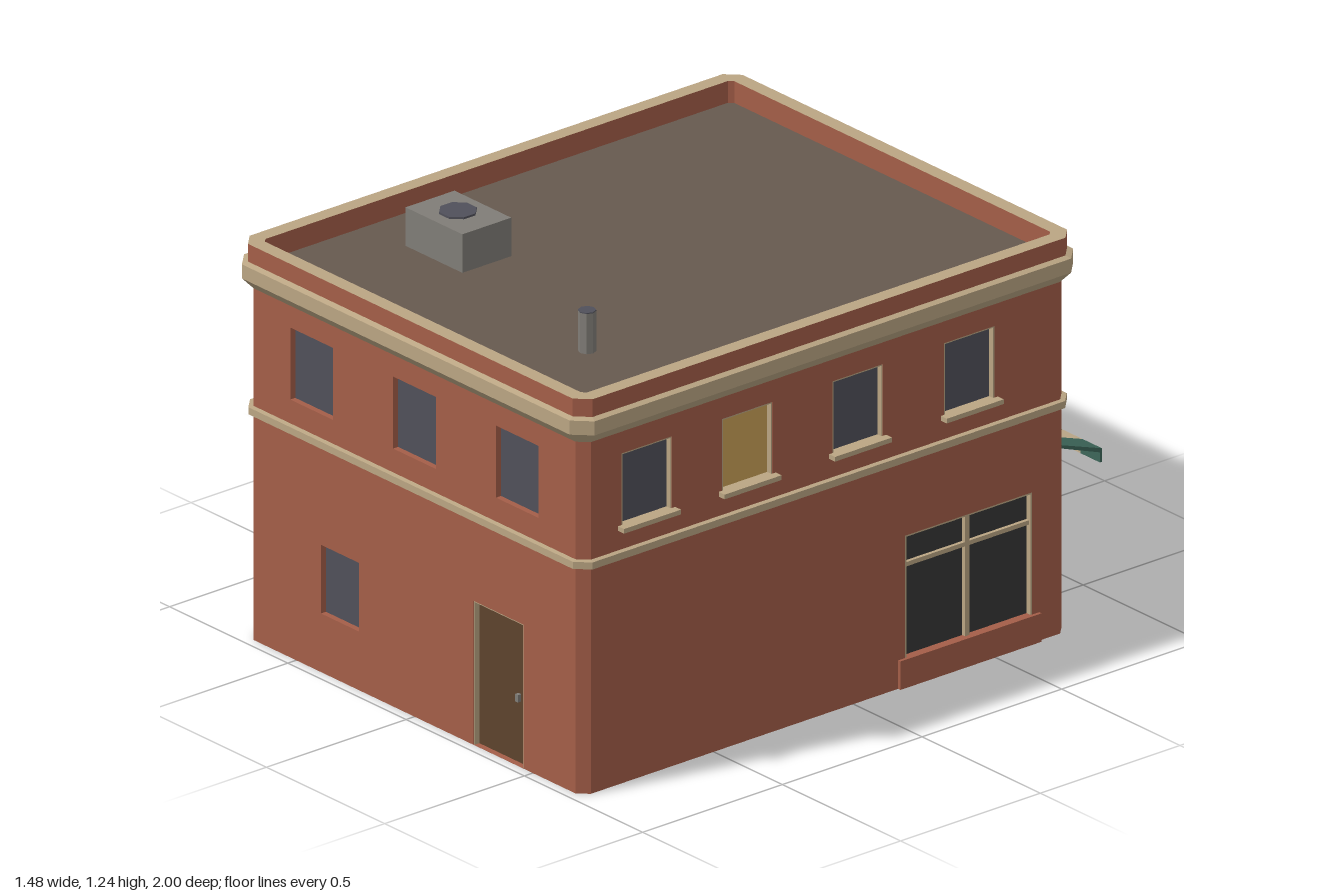
import * as THREE from 'three';

const mat = (name, color, side = THREE.FrontSide) => {
  const m = new THREE.MeshStandardMaterial({ color, side, flatShading: true });
  m.name = name;
  return m;
};
const brick = mat('brick', 0xa45e48, THREE.DoubleSide);
const stone = mat('stone', 0xbaa583, THREE.DoubleSide);
const cream = mat('awningCream', 0xc8b391);
const green = mat('green', 0x3d675a);
const roofing = mat('roofing', 0x66594f, THREE.DoubleSide);
const glass = mat('glass', 0x50505a);
const darkGlass = mat('shopGlass', 0x363636);
const litGlass = mat('litGlass', 0xc9a157);
const wood = mat('doorWood', 0x5d432d);
const metal = mat('metal', 0x807d77);

// Building footprint: chamfered rectangle
const HX = 0.71, HZ = 0.87, CZ = 0.1, CH = 0.03, WALL_TOP = 1.05, REVEAL = 0.02;

function mesh(parent, name, geo, material, x = 0, y = 0, z = 0) {
  const m = new THREE.Mesh(geo, material);
  m.name = name;
  m.position.set(x, y, z);
  parent.add(m);
  return m;
}

// Box given by its minimum and maximum corners
function box(parent, name, material, x0, x1, y0, y1, z0, z1) {
  return mesh(parent, name, new THREE.BoxGeometry(x1 - x0, y1 - y0, z1 - z0), material,
    (x0 + x1) / 2, (y0 + y1) / 2, (z0 + z1) / 2);
}

// Footprint octagon grown outward by o
function octagon(o) {
  const a = HX + o, b = HZ + o, c = CH + o * 0.586;
  return [[a, -b + c], [a, b - c], [a - c, b], [-a + c, b], [-a, b - c], [-a, -b + c], [-a + c, -b], [a - c, -b]];
}

// Band around the building following a profile of [offset, height]
function band(parent, name, material, profile) {
  const pos = [];
  for (let i = 0; i < profile.length - 1; i++) {
    const [lo, yl] = profile[i], [hi, yh] = profile[i + 1];
    const L = octagon(lo), H = octagon(hi);
    for (let k = 0; k < 8; k++) {
      const n = (k + 1) % 8;
      const a = [L[k][0], yl, L[k][1] + CZ], b = [L[n][0], yl, L[n][1] + CZ];
      const c = [H[n][0], yh, H[n][1] + CZ], d = [H[k][0], yh, H[k][1] + CZ];
      pos.push(...a, ...c, ...b, ...a, ...d, ...c);
    }
  }
  const g = new THREE.BufferGeometry();
  g.setAttribute('position', new THREE.Float32BufferAttribute(pos, 3));
  g.computeVertexNormals();
  mesh(parent, name, g, material);
}

function rectPath(Type, u0, u1, y0, y1) {
  const p = new Type();
  p.moveTo(u0, y0);
  p.lineTo(u1, y0);
  p.lineTo(u1, y1);
  p.lineTo(u0, y1);
  p.closePath();
  return p;
}

// One wall with its openings; locally u runs to the right and +z points outward
function wall(parent, name, u0, u1, position, turn, openings) {
  const g = new THREE.Group();
  g.name = name;
  g.position.set(...position);
  g.rotation.y = turn;
  parent.add(g);
  const shape = rectPath(THREE.Shape, u0, u1, 0, WALL_TOP);
  for (const o of openings) {
    const [a, b, c, d] = o.rect;
    shape.holes.push(rectPath(THREE.Path, a, b, Math.max(c, 0.001), d));
    box(g, o.name, o.fill, a, b, c, d, -REVEAL - 0.004, -REVEAL + 0.002);
    const t = o.frame;
    if (t) {
      box(g, 'frameSide', stone, a, a + t, c, d, -REVEAL, -0.001);
      box(g, 'frameSide', stone, b - t, b, c, d, -REVEAL, -0.001);
      box(g, 'frameTop', stone, a, b, d - t, d, -REVEAL, -0.001);
    }
    if (o.sill) box(g, 'sill', stone, a - 0.012, b + 0.012, c - 0.013, c + 0.001, -REVEAL, 0.025);
    if (o.lintel) box(g, 'lintel', stone, a - 0.012, b + 0.012, d, d + 0.015, -REVEAL, 0.015);
    // Shop window: mullions, transom and brick plinth
    if (o.panes) {
      for (let i = 1; i < o.panes; i++) {
        const u = a + (b - a) * i / o.panes;
        box(g, 'mullion', stone, u - 0.008, u + 0.008, c, d, -REVEAL, -0.006);
      }
      box(g, 'transom', stone, a, b, 0.353, 0.366, -REVEAL, -0.007);
      box(g, 'plinth', brick, a - 0.025, b + 0.025, 0, c, -REVEAL, 0.01);
    }
  }
  const geo = new THREE.ExtrudeGeometry(shape, { depth: REVEAL, bevelEnabled: false });
  geo.translate(0, 0, -REVEAL);
  mesh(g, 'brickWall', geo, brick);
  return g;
}

const upper = (u, extra = {}) => ({ name: 'upperWindow', rect: [u - 0.09, u + 0.09, 0.77, 0.985], fill: glass, ...extra });

export function createModel() {
  const model = new THREE.Group();
  model.name = 'cornerShop';
  const zF = CZ + HZ, zB = CZ - HZ;

  // Front wall
  const front = wall(model, 'frontWall', -HX + CH, HX - CH, [0, 0, zF], 0, [
    ...[-0.435, 0, 0.435].map(u => upper(u)),
    { name: 'lowerWindow', rect: [-0.395, -0.235, 0.175, 0.38], fill: glass },
    { name: 'frontDoor', rect: [0.25, 0.46, 0, 0.43], fill: wood, frame: 0.003 },
  ]);
  box(front, 'doorKnob', metal, 0.418, 0.43, 0.185, 0.207, -REVEAL, -0.006);

  // Right wall (u = -z)
  const dressed = { sill: true, frame: 0.004 };
  wall(model, 'rightWall', -zF + CH, -zB - CH, [HX, 0, 0], Math.PI / 2, [
    upper(-0.74, dressed), upper(-0.38, { ...dressed, fill: litGlass }), upper(0.015, dressed), upper(0.415, dressed),
    { name: 'shopWindow', rect: [0.185, 0.64, 0.085, 0.45], fill: darkGlass, frame: 0.005, panes: 2 },
  ]);

  // Left wall (u = z)
  wall(model, 'leftWall', zB + CH, zF - CH, [-HX, 0, 0], -Math.PI / 2, [
    upper(-0.285, dressed), upper(0.43, dressed),
    { name: 'lowerWindow', rect: [0.36, 0.5, 0.175, 0.39], fill: litGlass, frame: 0.004 },
  ]);

  // Back wall with the shop front (u = -x)
  const full = { ...dressed, lintel: true };
  const back = wall(model, 'backWall', -HX + CH, HX - CH, [0, 0, zB], Math.PI, [
    upper(-0.5, { ...full, fill: litGlass }), upper(-0.167, full), upper(0.167, full), upper(0.5, full),
    { name: 'shopDoor', rect: [-0.54, -0.3, 0, 0.45], fill: wood, frame: 0.012 },
    { name: 'shopWindow', rect: [-0.19, 0.62, 0.085, 0.45], fill: darkGlass, frame: 0.006, panes: 3 },
  ]);
  box(back, 'doorGlass', darkGlass, -0.495, -0.345, 0.19, 0.41, -REVEAL, -REVEAL + 0.006);
  box(back, 'doorKnob', metal, -0.52, -0.508, 0.17, 0.192, -REVEAL, -0.006);

  // Sign board with plain brick-coloured blocks
  box(back, 'signBoard', green, -0.53, 0.51, 0.54, 0.645, 0, 0.015);
  box(back, 'signPanel', stone, -0.505, 0.485, 0.56, 0.625, 0.012, 0.021);
  for (let i = 0; i < 5; i++) {
    const u = -0.366 + i * 0.178;
    box(back, 'signBlock', brick, u - 0.06, u + 0.06, 0.568, 0.617, 0.02, 0.029);
  }

  // Striped awning: sloped cover and hanging valance
  const awning = new THREE.Group();
  awning.name = 'awning';
  back.add(awning);
  const stripes = 15, w = 1.24 / stripes;
  const section = new THREE.Shape([[0, 0.515], [0, 0.507], [0.222, 0.425], [0.222, 0.395], [0.23, 0.395], [0.23, 0.435]]
    .map(p => new THREE.Vector2(-p[0], p[1])));
  for (let i = 0; i < stripes; i++) {
    const geo = new THREE.ExtrudeGeometry(section, { depth: w, bevelEnabled: false });
    geo.rotateY(Math.PI / 2);
    mesh(awning, 'awningStripe', geo, i % 2 ? cream : green, -0.58 + i * w, 0, 0);
  }

  // Chamfered corners
  for (const sx of [-1, 1]) for (const sz of [-1, 1]) {
    const c = mesh(model, 'corner', new THREE.PlaneGeometry(CH * Math.SQRT2, WALL_TOP), brick,
      sx * (HX - CH / 2), WALL_TOP / 2, CZ + sz * (HZ - CH / 2));
    c.rotation.y = Math.atan2(sx, sz);
  }

  // Belt course, cornice and parapet
  band(model, 'beltCourse', stone, [[0, 0.67], [0.014, 0.676], [0.014, 0.697], [0, 0.699]]);
  band(model, 'cornice', stone, [[0, 1.05], [0.031, 1.084], [0.031, 1.126], [0.015, 1.132]]);
  band(model, 'parapet', brick, [[0.015, 1.132], [0.015, 1.185]]);
  band(model, 'coping', stone, [[0.015, 1.185], [-0.03, 1.185]]);
  band(model, 'parapetInside', brick, [[-0.03, 1.185], [-0.03, 1.12]]);

  // Flat roof
  const roofGeo = new THREE.ShapeGeometry(new THREE.Shape(octagon(-0.03).map(p => new THREE.Vector2(p[0], p[1]))));
  roofGeo.rotateX(-Math.PI / 2);
  mesh(model, 'roof', roofGeo, roofing, 0, 1.12, CZ);

  // Roof cooling unit and vent pipe
  box(model, 'coolingUnit', metal, -0.51, -0.27, 1.12, 1.235, 0.395, 0.57);
  box(model, 'coolingGrille', glass, -0.49, -0.29, 1.14, 1.215, 0.389, 0.396);
  const fan = mesh(model, 'coolingFan', new THREE.CylinderGeometry(0.054, 0.054, 0.008, 8), glass, -0.395, 1.237, 0.48);
  fan.rotation.y = Math.PI / 8;
  mesh(model, 'ventPipe', new THREE.CylinderGeometry(0.025, 0.025, 0.12, 8), metal, 0.352, 1.18, 0.65);
  mesh(model, 'ventCap', new THREE.CylinderGeometry(0.025, 0.025, 0.004, 8), glass, 0.352, 1.241, 0.65);

  return model;
}
